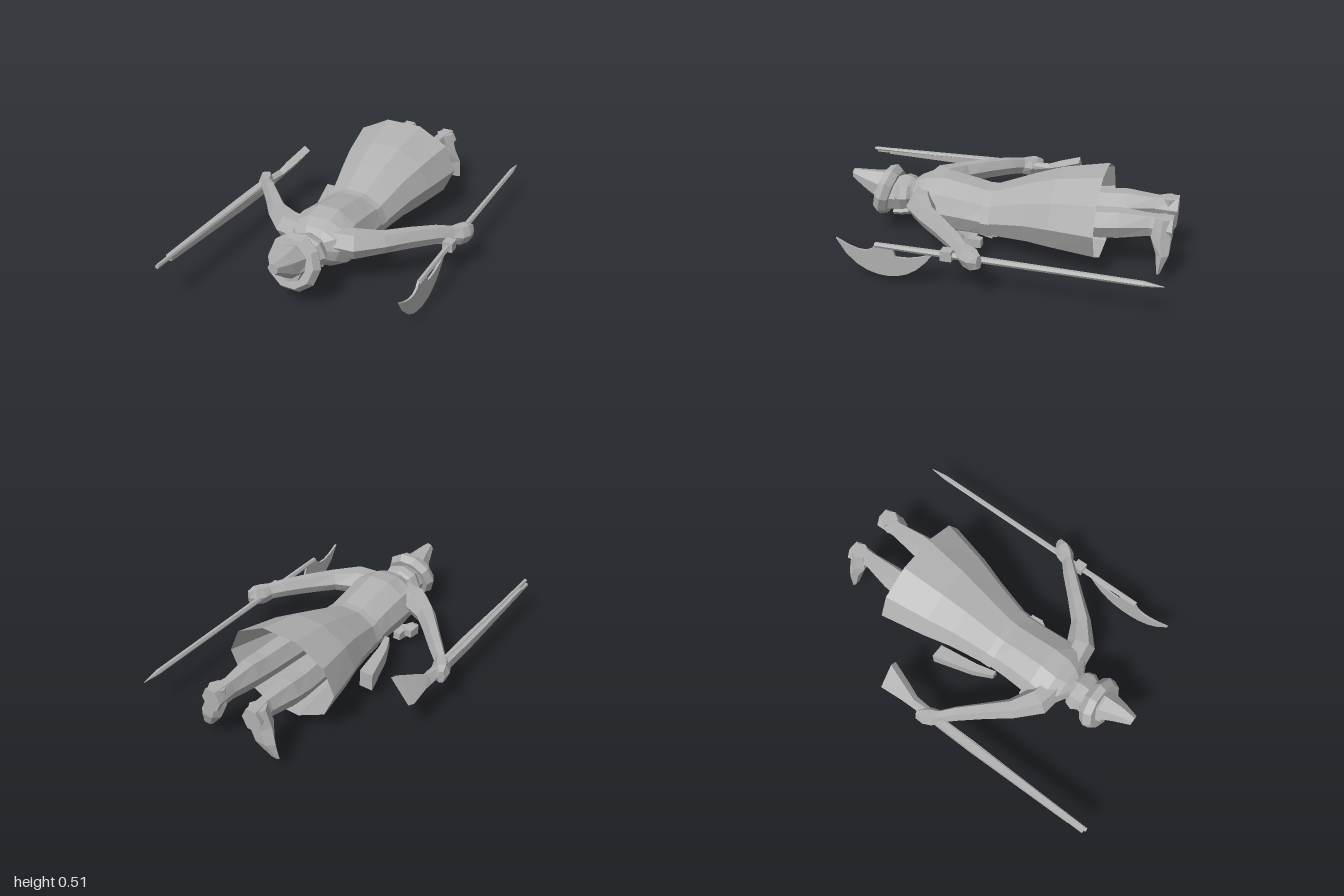
import * as THREE from 'three';

const stone = new THREE.MeshStandardMaterial({ color: 0xb0b0b0, flatShading: true, side: THREE.DoubleSide });
stone.name = 'stone grey';

const V = (a) => new THREE.Vector3(...a);

// Skin over rings [x, y, z, halfWidth, halfHeight, roll]; the axis fixes the ring plane if given
function loft(name, rings, n, { axis = null, ref = [0, 1, 0], open = false } = {}) {
  const pos = [], idx = [], phase = n === 4 ? Math.PI / 4 : 0;
  const centres = rings.map((r) => V(r.slice(0, 3)));
  rings.forEach((r, i) => {
    const t = axis ? V(axis) : centres[Math.min(i + 1, rings.length - 1)].clone().sub(centres[Math.max(i - 1, 0)]);
    t.normalize();
    const u = V(ref).cross(t).normalize(), v = t.clone().cross(u);
    const roll = r[5] || 0;
    for (let j = 0; j < n; j++) {
      const a = phase + (j / n) * Math.PI * 2, k = 1 / Math.cos(phase);
      const p = r[3] * Math.cos(a) * k, q = r[4] * Math.sin(a) * k;
      const w = centres[i].clone()
        .addScaledVector(u, p * Math.cos(roll) - q * Math.sin(roll))
        .addScaledVector(v, p * Math.sin(roll) + q * Math.cos(roll));
      pos.push(w.x, w.y, w.z);
    }
  });
  const last = (rings.length - 1) * n;
  for (let i = 0; i < last; i += n) {
    for (let j = 0; j < n; j++) {
      const k = (j + 1) % n;
      idx.push(i + j, i + k, i + n + j, i + k, i + n + k, i + n + j);
    }
  }
  if (!open) {
    for (let j = 1; j < n - 1; j++) idx.push(0, j + 1, j, last, last + j, last + j + 1);
  }
  const g = new THREE.BufferGeometry();
  g.setAttribute('position', new THREE.Float32BufferAttribute(pos, 3));
  g.setIndex(idx);
  return mesh(name, g);
}

function mesh(name, geometry) {
  const flat = geometry.index ? geometry.toNonIndexed() : geometry;
  flat.computeVertexNormals();
  const m = new THREE.Mesh(flat, stone);
  m.name = name;
  return m;
}

// Body ring from depth, half width, back height and front height
const bodyRing = ([z, w, top, bottom]) => [0, (top + bottom) / 2, z, w, (top - bottom) / 2 / 0.951];

export function createModel() {
  const model = new THREE.Group();
  model.name = 'lyingSoldier';
  const back = [0, 0, -1];

  // Torso and long open coat
  model.add(loft('torso', [
    [0.5, 0.08, 0.32, 0.18], [0.46, 0.15, 0.35, 0.14], [0.4, 0.2, 0.375, 0.1],
    [0.3, 0.195, 0.39, 0.07], [0.15, 0.187, 0.365, 0.07], [0, 0.187, 0.335, 0.075],
  ].map(bodyRing), 10, { axis: back }));
  model.add(loft('coatSkirt', [
    [0.02, 0.19, 0.34, 0.07], [-0.2, 0.24, 0.425, 0.07], [-0.35, 0.285, 0.475, 0.06], [-0.6, 0.34, 0.52, 0.05],
  ].map(bodyRing), 10, { axis: back, open: true }));
  model.add(loft('belt', [
    [0.05, 0.193, 0.345, 0.065], [-0.01, 0.197, 0.345, 0.065],
  ].map(bodyRing), 10, { axis: back, open: true }));

  for (const s of [-1, 1]) {
    const side = s > 0 ? 'left' : 'right';
    // Arm and fist
    model.add(loft(side + 'Arm', [
      [0.06 * s, 0.27, 0.41, 0.07, 0.075], [0.2 * s, 0.27, 0.385, 0.08, 0.08], [0.32 * s, 0.27, 0.3, 0.055, 0.062],
      [0.42 * s, 0.265, 0.19, 0.045, 0.06], [0.52 * s, 0.255, 0.08, 0.04, 0.055], [0.6 * s, 0.235, 0, 0.032, 0.05],
    ], 6));
    model.add(loft(side + 'Hand', [
      [0.575 * s, 0.24, 0.03, 0.03, 0.05], [0.61 * s, 0.23, -0.02, 0.05, 0.06],
      [0.635 * s, 0.23, -0.06, 0.045, 0.06], [0.655 * s, 0.23, -0.095, 0.02, 0.04],
    ], 6));
    // Leg and boot
    model.add(loft(side + 'Leg', [
      [0.11 * s, 0.27, -0.3, 0.085, 0.09], [0.125 * s, 0.275, -0.6, 0.075, 0.085], [0.125 * s, 0.285, -0.7, 0.07, 0.085],
      [0.12 * s, 0.295, -0.86, 0.045, 0.065], [0.13 * s, 0.295, -0.98, 0.06, 0.07],
    ], 6, { axis: back }));
    model.add(loft(side + 'Boot', [
      [0.13 * s, 0.35, -0.93, 0.05, 0.05], [0.145 * s, 0.25, -0.925, 0.065, 0.06],
      [0.175 * s, 0.17, -0.942, 0.065, 0.038], [0.22 * s, 0.075, -0.93, 0.03, 0.01],
    ], 6, { axis: [0, -1, 0], ref: [0, 0, 1] }));
  }

  // Head, face and collar
  model.add(loft('head', [
    [0, 0.25, 0.72, 0.08, 0.08], [0, 0.24, 0.64, 0.11, 0.11], [0, 0.235, 0.56, 0.095, 0.1], [0, 0.25, 0.47, 0.075, 0.075],
  ], 8, { axis: back }));
  model.add(loft('collar', [
    [0, 0.25, 0.585, 0.1, 0.09], [0, 0.25, 0.55, 0.122, 0.105], [0, 0.25, 0.51, 0.11, 0.095], [0, 0.25, 0.485, 0.08, 0.08],
  ], 8, { axis: back }));
  model.add(loft('beard', [[0, 0.13, 0.62, 0.05, 0.03], [0, 0.14, 0.56, 0.06, 0.03], [0, 0.14, 0.49, 0.02, 0.02]], 6, { axis: back }));

  // Tilted fur brim and pointed cap
  const brim = mesh('hatBrim', new THREE.TorusGeometry(0.11, 0.045, 6, 10));
  brim.position.set(0, 0.25, 0.655);
  brim.rotation.x = -0.3;
  model.add(brim);
  model.add(loft('cap', [
    [0.01, 0.33, 0.862, 0.03, 0.03], [0.01, 0.295, 0.77, 0.062, 0.068], [0, 0.265, 0.68, 0.095, 0.1], [0, 0.25, 0.62, 0.1, 0.1],
  ], 7, { axis: back }));

  // Chest strap with hanging powder charges
  const charges = [[-0.21, 0.1, 0.36], [-0.16, 0.085, 0.32], [-0.05, 0.06, 0.34], [0.05, 0.06, 0.22], [0.11, 0.07, 0.16], [0.21, 0.1, 0.1]];
  charges.forEach(([x, y, z]) => {
    model.add(loft('powderCharge', [[x, y, z + 0.03, 0.012, 0.012], [x, y, z, 0.028, 0.028], [x, y, z - 0.07, 0.022, 0.022]], 4, { axis: back }));
  });
  model.add(loft('chestStrap', charges.map(([x, y, z]) => [x, y + 0.015, z, 0.025, 0.012]), 4));
  model.add(loft('powderFlask', [[-0.05, 0.075, 0.3, 0.025, 0.012], [-0.05, 0.035, 0.04, 0.035, 0.025]], 4, { axis: back }));
  model.add(loft('sidePouch', [
    [-0.2, 0.16, 0.09, 0.015, 0.03], [-0.24, 0.15, -0.02, 0.025, 0.04], [-0.29, 0.14, -0.25, 0.04, 0.05],
  ], 4, { axis: back }));

  // Long gun: barrel, ramrod, forestock and flared butt
  model.add(loft('gunBarrel', [[-0.592, 0.24, 1, 0.011, 0.011], [-0.6, 0.24, 0, 0.018, 0.018]], 6));
  model.add(loft('ramrod', [[-0.608, 0.222, 0.99, 0.008, 0.008], [-0.615, 0.222, 0.3, 0.008, 0.008]], 4));
  model.add(loft('gunStock', [
    [-0.602, 0.228, 0.9, 0.017, 0.014], [-0.608, 0.225, 0.25, 0.027, 0.024], [-0.61, 0.225, 0.05, 0.025, 0.027],
    [-0.605, 0.23, -0.15, 0.018, 0.028, 0.6], [-0.595, 0.25, -0.22, 0.022, 0.045, 0.7], [-0.58, 0.275, -0.35, 0.022, 0.085, 0.7],
  ], 4, { axis: back }));

  // Pole axe: shaft, socket and crescent blade
  model.add(loft('axeShaft', [
    [0.61, 0.222, 0.48, 0.014, 0.014], [0.603, 0.218, 0.1, 0.018, 0.018], [0.592, 0.208, -0.9, 0.015, 0.015], [0.59, 0.205, -1, 0.002, 0.002],
  ], 6));
  model.add(loft('axeSocket', [[0.603, 0.22, 0.12, 0.028, 0.027], [0.602, 0.22, 0.06, 0.028, 0.027]], 4));
  const crescent = new THREE.Shape();
  crescent.moveTo(0.7, 0.23);
  crescent.bezierCurveTo(0.62, 0.07, 0.5, 0.045, 0.42, 0.047);
  crescent.bezierCurveTo(0.32, 0.05, 0.24, 0.1, 0.16, 0.215);
  crescent.quadraticCurveTo(0.27, 0.16, 0.37, 0.165);
  crescent.lineTo(0.39, 0.225);
  crescent.lineTo(0.48, 0.225);
  crescent.quadraticCurveTo(0.52, 0.13, 0.7, 0.23);
  const bladeGeo = new THREE.ExtrudeGeometry(crescent, { depth: 0.012, bevelEnabled: false, curveSegments: 5 });
  bladeGeo.rotateY(-Math.PI / 2);
  const blade = mesh('axeBlade', bladeGeo);
  blade.position.x = 0.611;
  model.add(blade);

  return model;
}
